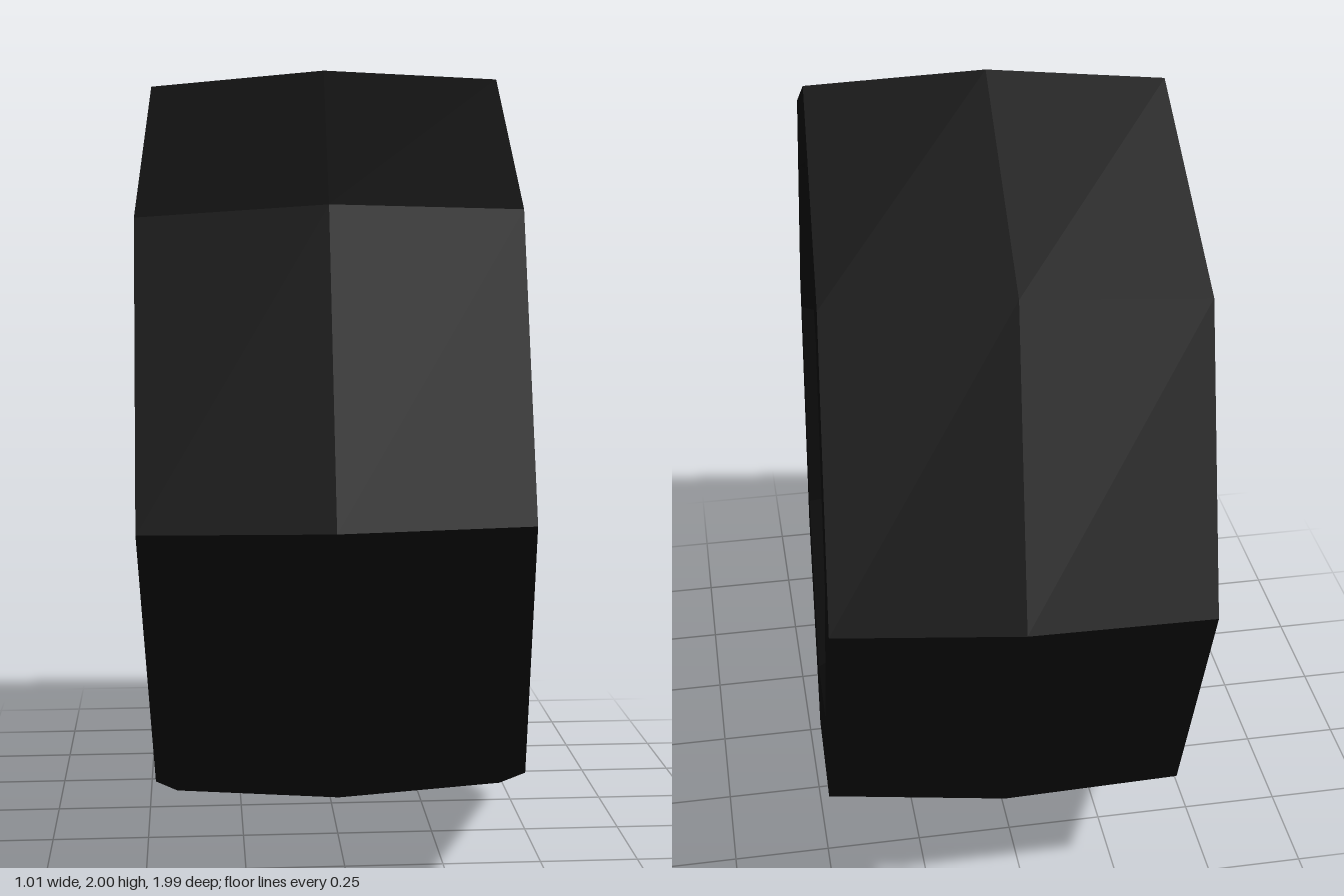
import * as THREE from 'three';

const SIDES = 8;

// Faceted solid of revolution around y from [radius, height] pairs, listed bottom to top
function facetedLathe(profile) {
  const points = profile.map(([r, h]) => new THREE.Vector2(r, h));
  const geometry = new THREE.LatheGeometry(points, SIDES).toNonIndexed();
  geometry.computeVertexNormals();
  return geometry;
}

export function createModel() {
  const rubber = new THREE.MeshStandardMaterial({ color: 0x101010 });
  rubber.name = 'black rubber';
  const metal = new THREE.MeshStandardMaterial({ color: 0x808080 });
  metal.name = 'grey metal';

  const wheel = new THREE.Group();
  wheel.name = 'wheel';

  function addPart(name, profile, material) {
    const mesh = new THREE.Mesh(facetedLathe(profile), material);
    mesh.name = name;
    wheel.add(mesh);
  }

  // Tyre: crowned tread, flat sidewalls and sloping inner lips
  const half = [[1, 0], [0.968, 0.45], [0.77, 0.45], [0.70, 0.333]];
  const lower = half.slice(1).reverse().map(([r, h]) => [r, -h]);
  addPart('tyre', [...lower, ...half], rubber);

  // Hub discs: a flat ring with a shallow raised boss, one on each side
  const disc = [[0.70, 0.333], [0.49, 0.333], [0.28, 0.388], [0, 0.388]];
  addPart('leftHub', disc, metal);
  addPart('rightHub', disc.slice().reverse().map(([r, h]) => [r, -h]), metal);

  // Lay the axle along x with a slight tilt, one corner near the top
  const axle = new THREE.Vector3(1, 0.021, 0.056).normalize();
  const corner = new THREE.Vector3(0, 1, 0.048);
  corner.addScaledVector(axle, -corner.dot(axle)).normalize();
  const side = new THREE.Vector3().crossVectors(axle, corner);
  wheel.quaternion.setFromRotationMatrix(new THREE.Matrix4().makeBasis(side, axle, corner));
  wheel.position.y = 1;

  const model = new THREE.Group();
  model.name = 'wheelModel';
  model.add(wheel);
  return model;
}
